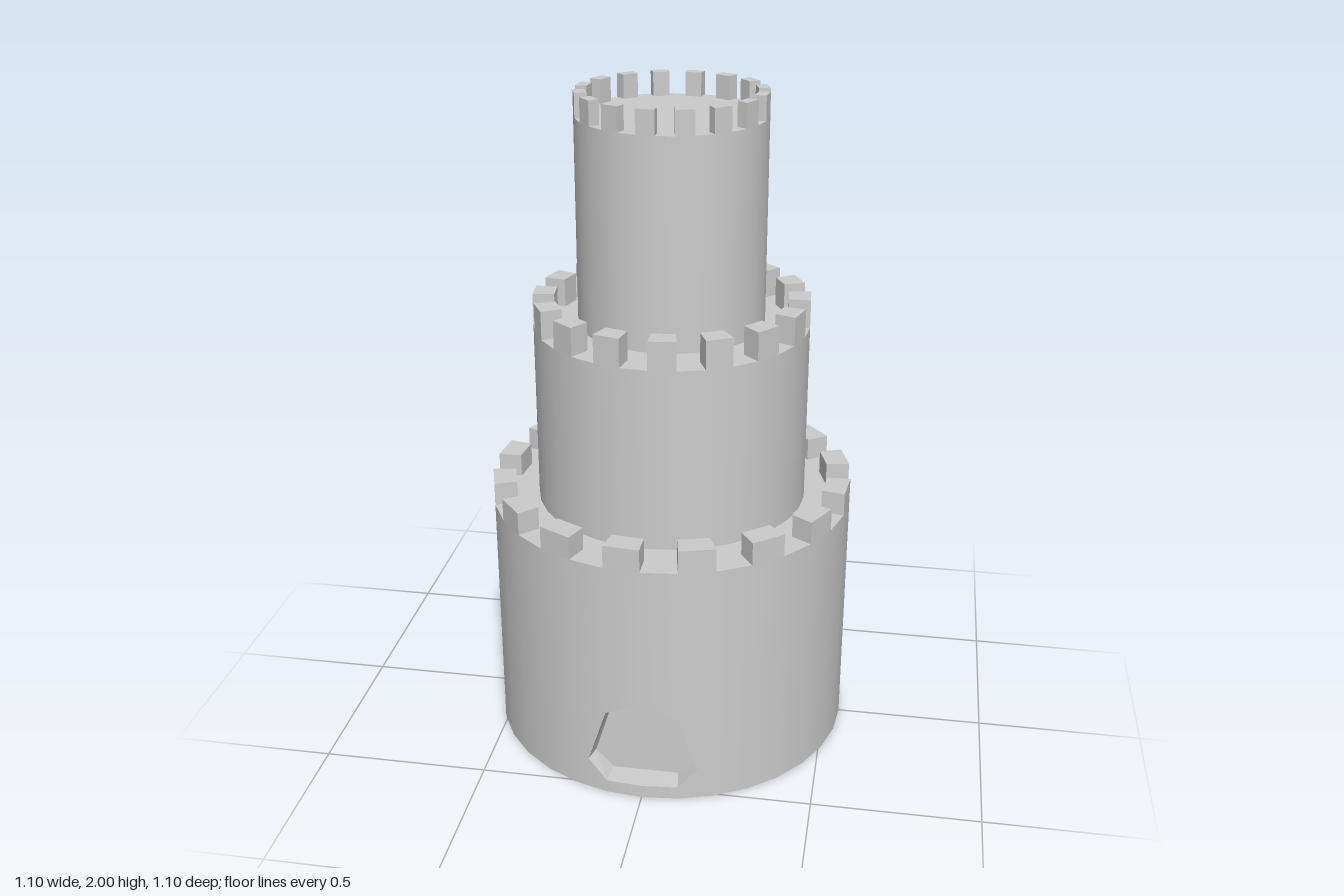
import * as THREE from 'three';
import { mergeGeometries } from 'three/addons/utils/BufferGeometryUtils.js';

const SIDES = 32;
const STEP = (Math.PI * 2) / SIDES;
const material = new THREE.MeshStandardMaterial({ color: 0xcccccc });

function add(group, name, geometry) {
  const mesh = new THREE.Mesh(geometry, material);
  mesh.name = name;
  group.add(mesh);
  return mesh;
}

// Open wall of the tower between two heights, over part of the circle
function wall(r, y0, y1, first = 0, count = SIDES) {
  return new THREE.CylinderGeometry(r, r, y1 - y0, count, 1, true, first * STEP, count * STEP)
    .translate(0, (y0 + y1) / 2, 0);
}

function disc(r, y, up = true) {
  return new THREE.CircleGeometry(r, SIDES).rotateX(up ? -Math.PI / 2 : Math.PI / 2).translate(0, y, 0);
}

// Ring of wedge-shaped teeth standing on every second facet
function battlements(r, depth, y0, y1, first) {
  const teeth = [];
  for (let i = first; i < SIDES + first; i += 2) {
    const at = (radius, k) => new THREE.Vector2(radius * Math.sin(k * STEP), radius * Math.cos(k * STEP));
    const shape = new THREE.Shape([at(r, i), at(r, i + 1), at(r - depth, i + 1), at(r - depth, i)]);
    teeth.push(new THREE.ExtrudeGeometry(shape, { depth: y1 - y0, bevelEnabled: false })
      .rotateX(-Math.PI / 2).translate(0, y0, 0));
  }
  return mergeGeometries(teeth);
}

// Quads between two matching closed loops of points
function strip(inner, outer, radialNormals) {
  const pos = [];
  inner.forEach((a, i) => {
    const j = (i + 1) % inner.length;
    const b = inner[j], c = outer[j], d = outer[i];
    for (const p of [a, d, c, a, c, b]) pos.push(p.x, p.y, p.z);
  });
  const g = new THREE.BufferGeometry();
  g.setAttribute('position', new THREE.Float32BufferAttribute(pos, 3));
  g.computeVertexNormals();
  if (radialNormals) {
    const p = g.attributes.position, v = new THREE.Vector3();
    for (let i = 0; i < p.count; i++) {
      v.set(p.getX(i), 0, p.getZ(i)).normalize();
      g.attributes.normal.setXYZ(i, v.x, v.y, v.z);
    }
  }
  return g;
}

// Front wall panel with a recessed arched gateway
function gateway(r, top) {
  const group = new THREE.Group();
  group.name = 'gateway';
  const x1 = r * Math.sin(STEP), x2 = r * Math.sin(2 * STEP);
  const z1 = r * Math.cos(STEP), z2 = r * Math.cos(2 * STEP);
  const onWall = (x, y) => {
    const a = Math.abs(x);
    const z = a < x1 ? r + (z1 - r) * a / x1 : z1 + (z2 - z1) * (a - x1) / (x2 - x1);
    return new THREE.Vector3(x, y, z);
  };
  // Right half from bottom centre to top centre: rim x, y, then panel edge x, y
  const half = [
    [0, 0.04, 0, 0], [x1, 0.04, x1, 0], [x1, 0.04, x2, 0], [0.165, 0.1, x2, 0.1],
    [x1, 0.28, x2, top], [x1, 0.28, x1, top], [0, 0.325, 0, top],
  ];
  const mirrored = half.slice(1, -1).reverse().map(([a, b, c, d]) => [-a, b, -c, d]);
  const loop = [...half, ...mirrored];
  const rim = loop.map(([x, y]) => onWall(x, y));
  const edge = loop.map(([, , x, y]) => onWall(x, y));
  const back = rim.map((p) => new THREE.Vector3(p.x * 0.92, 0.045 + (p.y - 0.04) * 0.96, 0.475));
  const centre = back.map(() => new THREE.Vector3(0, 0.15, 0.475));
  add(group, 'gatePanel', strip(rim, edge, true));
  add(group, 'gateReveal', strip(back, rim, false));
  add(group, 'gateDoor', strip(centre, back, false));
  return group;
}

export function createModel() {
  const model = new THREE.Group();
  model.name = 'tower';
  const tiers = [
    { name: 'lower', r: 0.55, y0: 0, floor: 0.765, top: 0.835, depth: 0.07, first: 0 },
    { name: 'middle', r: 0.41, y0: 0.765, floor: 1.315, top: 1.4, depth: 0.064, first: -1 },
    { name: 'upper', r: 0.277, y0: 1.315, floor: 1.93, top: 2, depth: 0.034, first: 0 },
  ];
  for (const t of tiers) {
    const tier = new THREE.Group();
    tier.name = t.name + 'Tier';
    if (t.y0 === 0) {
      // Wall leaves four front facets free for the gateway
      add(tier, 'lowerWall', mergeGeometries([
        wall(t.r, 0, t.floor, 2, SIDES - 4), wall(t.r, 0.42, t.floor, -2, 4)]));
      tier.add(gateway(t.r, 0.42));
      add(tier, 'base', disc(t.r, 0, false));
    } else {
      add(tier, t.name + 'Wall', wall(t.r, t.y0, t.floor));
    }
    add(tier, t.name + 'Floor', disc(t.r, t.floor));
    add(tier, t.name + 'Battlements', battlements(t.r, t.depth, t.floor, t.top, t.first));
    model.add(tier);
  }
  return model;
}
